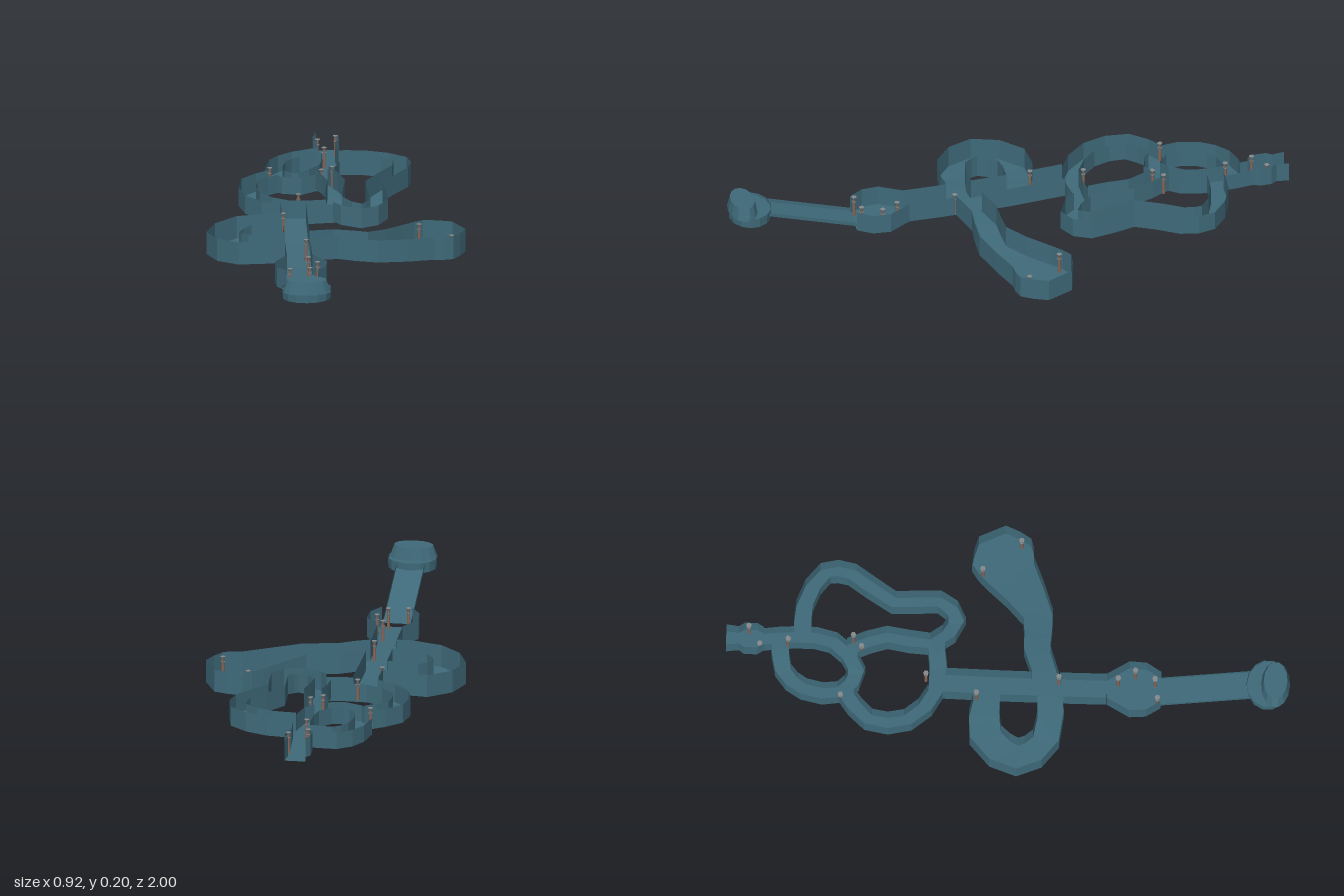
import * as THREE from 'three';

// smooth blend from a to b while t runs from t0 to t1
const ease = (t, t0, t1, a, b) => a + (b - a) * THREE.MathUtils.smoothstep(t, t0, t1);

// floor heights: a long slope along z, lower western loops, side arms that sink away, a steep ramp
const slopeY = (x, z) => (z > 0 ? ease(z, 0, 0.15, 0.042, 0.036) : ease(-z, 0, 0.6, 0.042, 0.083));
const westY = (x, z) => ease(-z, 0.2, 0.6, 0.05, 0.068);
const northY = (x, z) => slopeY(x, z) - ease(-x, 0, 0.15, 0.003, 0.014);
const armY = (x) => (x < -0.14 ? ease(-x, 0.14, 0.46, 0.037, 0.02) : ease(x, -0.14, 0.36, 0.037, 0.002));
const rampY = (x, z) => 0.05 + (z - 0.54) * 0.29;

// a passage: spline through [x, z, half width], cut into straight panels between two rails
function passage(name, floorY, wallHeight, stepsPerSpan, points, capped = false) {
  const curve = new THREE.CatmullRomCurve3(points.map(([x, z, w = 0.031]) => new THREE.Vector3(x, w, z)));
  const line = curve.getPoints((points.length - 1) * stepsPerSpan);
  const rails = line.map((p, i) => {
    const a = line[Math.max(0, i - 1)], b = line[Math.min(line.length - 1, i + 1)];
    const side = new THREE.Vector3(a.z - b.z, 0, b.x - a.x).setLength(p.y);
    const centre = new THREE.Vector3(p.x, floorY(p.x, p.z), p.z);
    return [centre.clone().add(side), centre.clone().sub(side)];
  });
  const floor = rails.slice(1).map((r, i) => [rails[i][0], r[0], r[1], rails[i][1]]);
  return { name, floor, wallHeight, capped };
}

// is a point strictly within a floor panel, seen from above?
function inside(p, quad) {
  const turns = quad.map((a, i) => {
    const b = quad[(i + 1) % 4];
    return (b.x - a.x) * (p.z - a.z) - (b.z - a.z) * (p.x - a.x);
  });
  return turns.every((t) => t > 1e-6) || turns.every((t) => t < -1e-6);
}

function quadMesh(name, quads, material) {
  const corners = quads.flatMap(([a, b, c, d]) => [a, b, c, a, c, d]);
  const geometry = new THREE.BufferGeometry().setFromPoints(corners);
  geometry.computeVertexNormals();
  const mesh = new THREE.Mesh(geometry, material);
  mesh.name = name;
  return mesh;
}

// upright wall panels from a to b, left open wherever another passage joins
function wallPanels(a, b, height, otherFloors) {
  const n = Math.max(1, Math.ceil(a.distanceTo(b) / 0.008));
  const panels = [];
  for (let k = 0; k < n; k++) {
    const middle = a.clone().lerp(b, (k + 0.5) / n);
    if (otherFloors.some((quad) => inside(middle, quad))) continue;
    const s = a.clone().lerp(b, k / n), e = a.clone().lerp(b, (k + 1) / n);
    const up = (v) => new THREE.Vector3(v.x, v.y + height, v.z);
    panels.push([s, e, up(e), up(s)]);
  }
  return panels;
}

export function createModel() {
  const model = new THREE.Group();
  model.name = 'windingPassages';
  const stone = new THREE.MeshStandardMaterial({ color: 0x3f6a7a, side: THREE.DoubleSide, flatShading: true });
  stone.name = 'blueStone';
  const wood = new THREE.MeshStandardMaterial({ color: 0x8a6657 });
  wood.name = 'brownWood';
  const iron = new THREE.MeshStandardMaterial({ color: 0x85888a });
  iron.name = 'greyIron';

  // straight parts
  const ramp = passage('entranceRamp', rampY, 0.014, 1, [[-0.138, 0.87, 0.05], [-0.138, 0.54, 0.05]]);
  const corridor = passage('mainCorridor', slopeY, 0.074, 3, [[-0.14, 0.35, 0.045], [-0.14, -0.26, 0.045]]);

  // small rooms
  const guardRoom = passage('guardRoom', slopeY, 0.074, 1,
    [[-0.138, 0.542, 0.055], [-0.138, 0.49, 0.088], [-0.138, 0.43, 0.092], [-0.14, 0.35, 0.045]]);
  const northRoom = passage('northRoom', slopeY, 0.072, 1,
    [[0, -0.86, 0.028], [0, -0.89, 0.046], [0, -0.935, 0.046], [0, -0.955, 0.032], [0, -1, 0.038]]);

  // winding parts
  const crossArm = passage('crossArm', armY, 0.082, 2,
    [[-0.16, -0.07, 0.045], [-0.32, -0.075, 0.06], [-0.4, 0.04, 0.058], [-0.33, 0.14, 0.05], [-0.135, 0.145, 0.045],
      [0, 0.1, 0.047], [0.13, 0.1, 0.055], [0.295, 0, 0.095], [0.365, -0.035, 0.115], [0.44, -0.07, 0.052]], true);
  const westLoop = passage('westLoop', westY, 0.068, 2,
    [[0.02, -0.26], [-0.16, -0.25], [-0.28, -0.35], [-0.285, -0.49], [-0.18, -0.58]]);
  const northLoop = passage('northLoop', northY, 0.062, 2,
    [[0, -0.87], [0.012, -0.75], [-0.005, -0.62], [-0.105, -0.535], [-0.185, -0.59], [-0.178, -0.72], [-0.11, -0.795], [0.01, -0.81]]);
  const eastLoop = passage('eastLoop', slopeY, 0.072, 2,
    [[0.01, -0.73], [0.13, -0.725], [0.252, -0.655], [0.25, -0.56], [0.152, -0.41], [0.165, -0.25],
      [0.1, -0.185], [0.005, -0.27], [0.02, -0.43], [-0.03, -0.56]]);

  const passages = [ramp, corridor, guardRoom, northRoom, crossArm, westLoop, northLoop, eastLoop];
  const allFloors = passages.flatMap((p) => p.floor);
  for (const { name, floor, wallHeight, capped } of passages) {
    const walls = floor.flatMap((quad, i) => {
      const [a, b, c, d] = quad;
      const others = allFloors.filter((q) => q !== quad);
      const edges = [[a, b], [d, c]];
      if (capped && i === floor.length - 1) edges.push([b, c]);
      return edges.flatMap(([s, e]) => wallPanels(s, e, wallHeight, others));
    });
    const group = new THREE.Group();
    group.name = name;
    group.add(quadMesh(name + 'Floor', floor, stone), quadMesh(name + 'Walls', walls, stone));
    model.add(group);
  }

  // entrance chamber: open ring, floor disc inside it, tapered hood over the front half
  const drum = (name, rTop, rBottom, depth, y0, y1, z, open) => {
    const mesh = new THREE.Mesh(new THREE.CylinderGeometry(rTop, rBottom, y1 - y0, 14, 1, open), stone);
    mesh.name = name;
    mesh.scale.z = depth;
    mesh.position.set(-0.137, (y0 + y1) / 2, z);
    model.add(mesh);
  };
  drum('entranceRing', 0.088, 0.086, 0.87, 0.127, 0.165, 0.92, true);
  drum('entranceFloor', 0.086, 0.086, 0.87, 0.15, 0.156, 0.92, false);
  drum('entranceHood', 0.07, 0.086, 0.6, 0.156, 0.2, 0.947, false);

  // torch posts beside the junctions: shaft, collar and bowl
  const shaftGeometry = new THREE.CylinderGeometry(0.005, 0.006, 0.07, 6);
  const collarGeometry = new THREE.CylinderGeometry(0.008, 0.005, 0.008, 6);
  const bowlGeometry = new THREE.CylinderGeometry(0.01, 0.005, 0.01, 6);
  const addPost = (x, z, floorY) => {
    const post = new THREE.Group();
    post.name = 'torchPost';
    const addPiece = (name, geometry, material, y) => {
      const piece = new THREE.Mesh(geometry, material);
      piece.name = name;
      piece.position.y = y;
      post.add(piece);
    };
    addPiece('postShaft', shaftGeometry, wood, 0.035);
    addPiece('postCollar', collarGeometry, iron, 0.055);
    addPiece('postBowl', bowlGeometry, iron, 0.073);
    post.position.set(x, floorY(x, z), z);
    model.add(post);
  };
  for (const [x, z] of [[-0.12, -0.29], [-0.18, -0.11], [-0.11, 0.18], [-0.11, 0.39], [-0.11, 0.52], [-0.18, 0.53],
    [-0.08, 0.45], [-0.03, -0.52], [0.01, -0.55], [-0.01, -0.78], [-0.03, -0.88], [0.035, -0.92]]) addPost(x, z, slopeY);
  for (const [x, z] of [[0.41, 0.035], [0.3, -0.1]]) addPost(x, z, armY);
  addPost(-0.21, -0.59, westY);

  return model;
}
